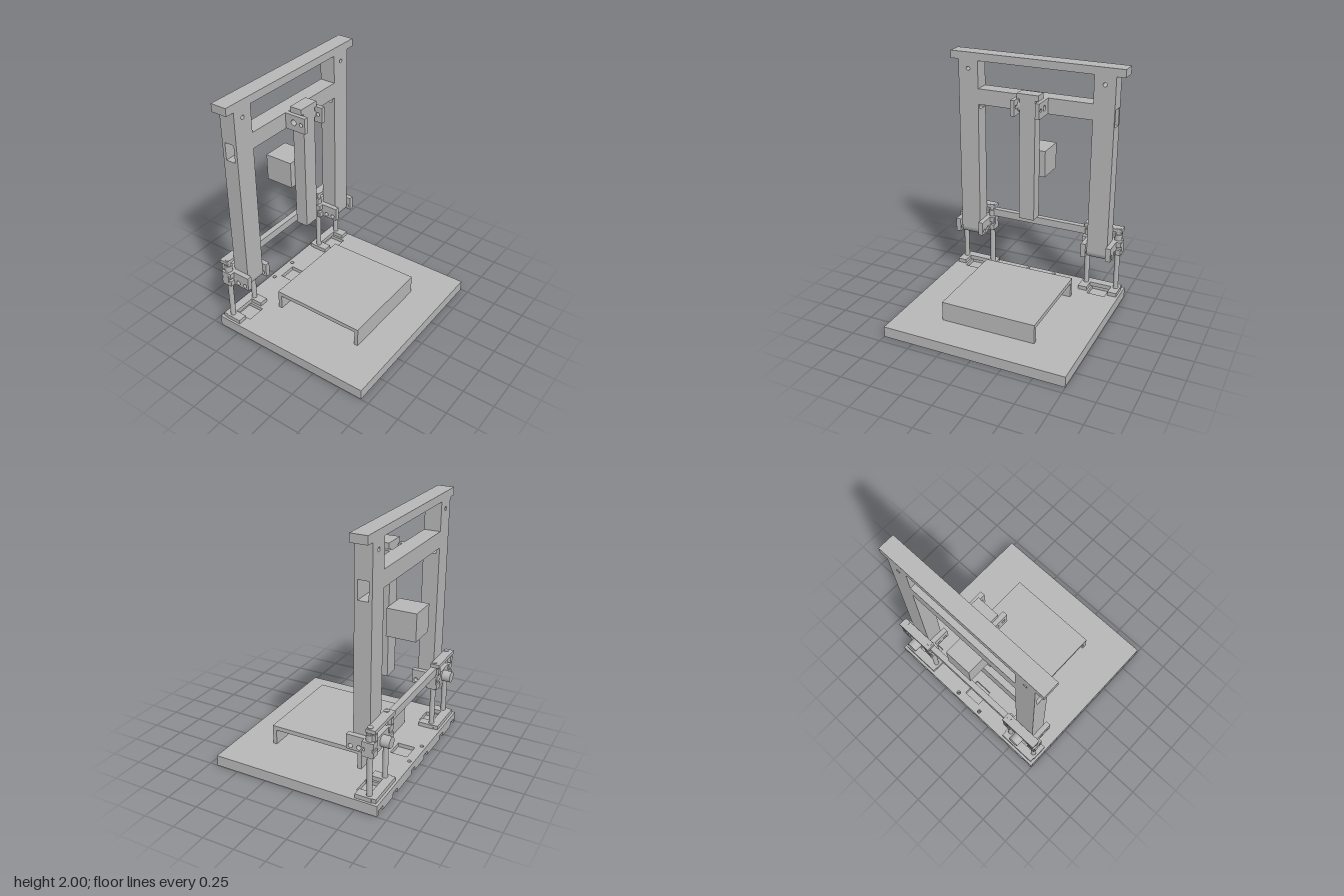
import * as THREE from 'three';

const grey = new THREE.MeshStandardMaterial({ color: 0xb6b6b6 });
grey.name = 'machine grey';

// Box from its minimum and maximum corners
function box(parent, name, x0, x1, y0, y1, z0, z1) {
  const m = new THREE.Mesh(new THREE.BoxGeometry(x1 - x0, y1 - y0, z1 - z0), grey);
  m.position.set((x0 + x1) / 2, (y0 + y1) / 2, (z0 + z1) / 2);
  m.name = name;
  parent.add(m);
  return m;
}

// Cylinder centred at a point along the chosen axis
function rod(parent, name, r, length, x, y, z, axis = 'y') {
  const g = new THREE.CylinderGeometry(r, r, length, 32);
  if (axis === 'x') g.rotateZ(Math.PI / 2);
  if (axis === 'z') g.rotateX(Math.PI / 2);
  const m = new THREE.Mesh(g, grey);
  m.position.set(x, y, z);
  m.name = name;
  parent.add(m);
  return m;
}

const rect = (x0, x1, y0, y1) => new THREE.Shape(
  [[x0, y0], [x1, y0], [x1, y1], [x0, y1]].map(p => new THREE.Vector2(...p)));
const disc = (x, y, r) => new THREE.Path().absarc(x, y, r, 0, Math.PI * 2, true);

// Extrude a shape with holes, starting at z = from
function extrude(parent, name, shape, holes, from, depth, turn) {
  shape.holes.push(...holes);
  const g = new THREE.ExtrudeGeometry(shape, { depth, bevelEnabled: false, curveSegments: 16 });
  g.translate(0, 0, from);
  if (turn === 'up') g.rotateX(-Math.PI / 2);
  if (turn === 'side') g.rotateY(Math.PI / 2);
  const m = new THREE.Mesh(g, grey);
  m.name = name;
  parent.add(m);
  return m;
}

function makeBase(parent) {
  const base = new THREE.Group();
  base.name = 'base';
  parent.add(base);
  const boltZ = [-0.685, -0.445, -0.12, 0.12, 0.445, 0.685];
  const bolts = () => boltZ.map(z => disc(-0.64, z, 0.015));

  // Bottom layer, notched along the rear edge
  const s = new THREE.Shape();
  s.moveTo(-0.675, -0.748);
  s.lineTo(0.685, -0.748);
  s.lineTo(0.685, 0.748);
  s.lineTo(-0.675, 0.748);
  for (const z of [...boltZ].reverse()) {
    s.lineTo(-0.675, z + 0.035);
    s.lineTo(-0.61, z + 0.035);
    s.lineTo(-0.61, z - 0.035);
    s.lineTo(-0.675, z - 0.035);
  }
  extrude(base, 'notchedLayer', s, [], 0, 0.035, 'up');
  extrude(base, 'middleLayer', rect(-0.675, 0.685, -0.748, 0.748), bolts(), 0.035, 0.02, 'up');
  // Top layer with three shallow pockets
  const pockets = [-0.565, 0, 0.565].map(z => rect(-0.6, -0.46, z - 0.075, z + 0.075));
  extrude(base, 'topLayer', rect(-0.675, 0.685, -0.748, 0.748), [...bolts(), ...pockets], 0.055, 0.032, 'up');
}

// One post with its carriage, guide rods and foot; side is +1 or -1
function makeSide(parent, side) {
  const g = new THREE.Group();
  g.name = side > 0 ? 'leftColumn' : 'rightColumn';
  g.position.z = 0.565 * side;
  parent.add(g);

  // Post with rounded lower end and a slot through it
  const p = new THREE.Shape();
  p.moveTo(-0.435, 1.8);
  p.lineTo(-0.565, 1.8);
  p.lineTo(-0.565, 0.485);
  p.absarc(-0.5, 0.485, 0.065, Math.PI, Math.PI * 2, false);
  p.lineTo(-0.435, 1.8);
  extrude(g, 'post', p, [rect(-0.54, -0.46, 1.54, 1.68)], -0.085, 0.17);
  extrude(g, 'postTop', rect(-0.085, 0.085, 1.8, 1.94), [disc(0, 1.87, 0.016)], -0.565, 0.13, 'side');

  // Sliding carriage
  box(g, 'carriageBack', -0.62, -0.565, 0.445, 0.56, -0.165, 0.165);
  rod(g, 'motor', 0.044, 0.08, -0.65, 0.503, 0, 'x');

  for (const s of [-1, 1]) {
    // Pivot cheeks and rod bearings
    const inner = s > 0 ? 0.085 : -0.125;
    extrude(g, 'pivotCheek', rect(-0.57, -0.4, 0.445, 0.56),
      [disc(-0.435, 0.475, 0.017), disc(-0.5, 0.475, 0.018)], inner, 0.04);
    const z = 0.128 * s;
    box(g, 'bearingUpper', -0.63, -0.54, 0.515, 0.56, z - 0.035, z + 0.035);
    box(g, 'bearingLower', -0.63, -0.54, 0.445, 0.49, z - 0.035, z + 0.035);
    rod(g, 'collar', 0.03, 0.05, -0.587, 0.59, z);
    rod(g, 'guideRod', 0.021, 0.582, -0.587, 0.377, z);
    box(g, 'rodClip', -0.635, -0.6, 0.57, 0.62, z - 0.02, z + 0.02);
    // Foot arms
    box(g, 'footArm', -0.62, -0.49, 0.085, 0.12, z - 0.037, z + 0.037);
  }
  box(g, 'rodCap', -0.64, -0.568, 0.635, 0.663, -0.16, 0.16);
  box(g, 'footBack', -0.655, -0.585, 0.085, 0.12, -0.16, 0.16);
}

function makeHammer(parent) {
  const g = new THREE.Group();
  g.name = 'swingArm';
  parent.add(g);
  extrude(g, 'arm', rect(-0.413, -0.312, 0.725, 1.715),
    [disc(-0.362, 1.655, 0.023), disc(-0.365, 1.585, 0.015)], -0.065, 0.13);
  box(g, 'armCap', -0.413, -0.312, 1.715, 1.76, -0.09, 0.09);
  for (const s of [-1, 1]) {
    // Pivot boss and bracket cheek
    const ring = new THREE.Shape().absarc(-0.362, 1.655, 0.05, 0, Math.PI * 2, false);
    extrude(g, 'pivotBoss', ring, [disc(-0.362, 1.655, 0.023)], s > 0 ? 0.065 : -0.09, 0.025);
    extrude(g, 'bracketCheek', rect(-0.435, -0.26, 1.59, 1.715),
      [disc(-0.362, 1.655, 0.023), disc(-0.295, 1.655, 0.015)], s > 0 ? 0.085 : -0.12, 0.035);
  }
  box(g, 'counterweight', -0.65, -0.415, 1.07, 1.287, -0.112, 0.112);
}

export function createModel() {
  const model = new THREE.Group();
  model.name = 'testRig';
  makeBase(model);

  // Raised work table
  const table = new THREE.Group();
  table.name = 'table';
  model.add(table);
  box(table, 'tableTop', -0.37, 0.405, 0.21, 0.245, -0.388, 0.388);
  box(table, 'tableSide', -0.37, -0.338, 0.085, 0.21, -0.388, 0.388);
  box(table, 'tableSide', 0.373, 0.405, 0.085, 0.21, -0.388, 0.388);

  // Frame
  makeSide(model, 1);
  makeSide(model, -1);
  box(model, 'topBeam', -0.565, -0.435, 1.938, 2, -0.72, 0.72);
  box(model, 'crossBeam', -0.565, -0.435, 1.588, 1.715, -0.48, 0.48);
  box(model, 'rearTieBar', -0.615, -0.568, 0.567, 0.63, -0.42, 0.42);

  makeHammer(model);
  return model;
}
